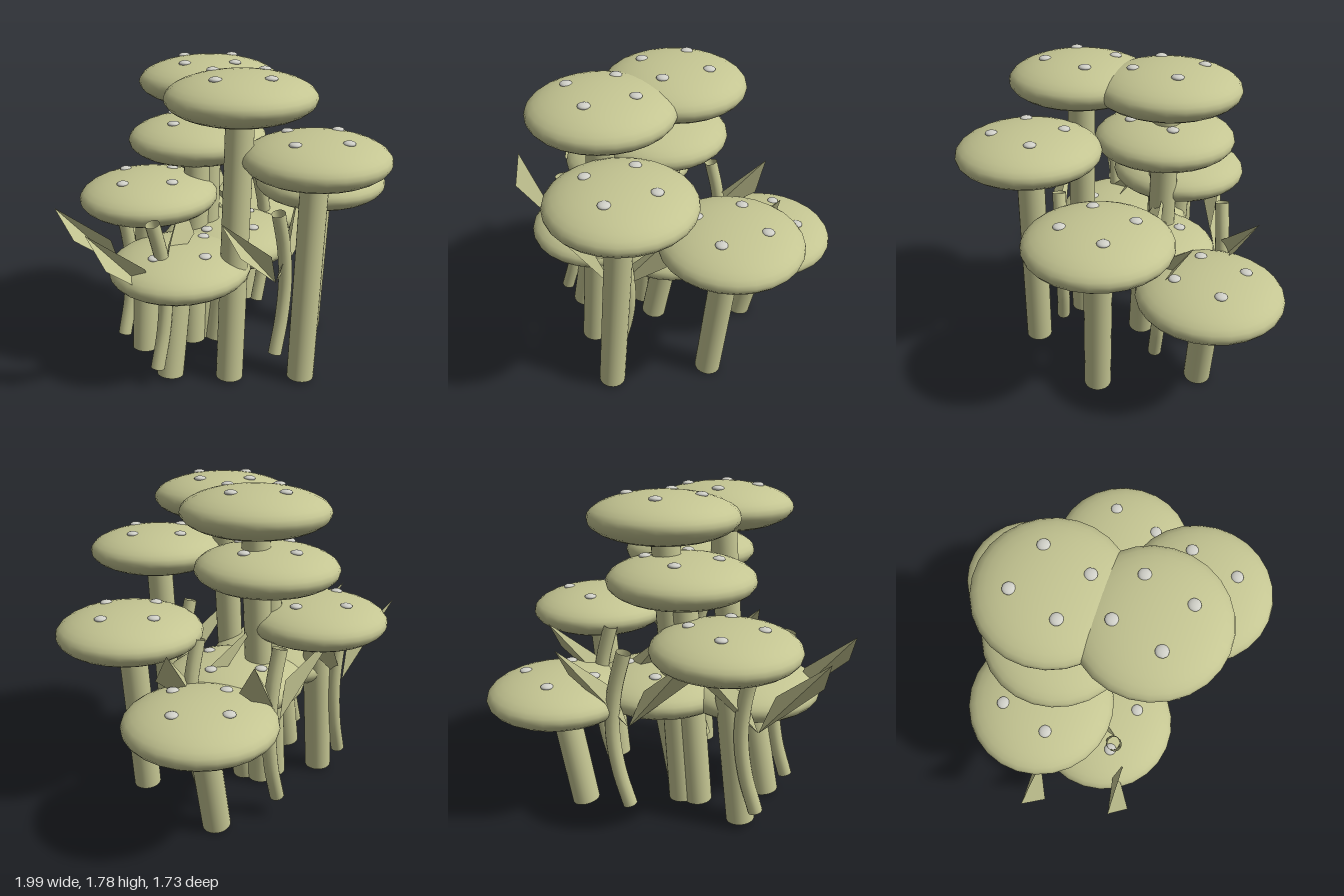
import * as THREE from 'three';

const fungus = new THREE.MeshStandardMaterial({ name: 'fungusGreen', color: 0xc4c592, side: THREE.DoubleSide });
const spotMat = new THREE.MeshStandardMaterial({ name: 'spotGrey', color: 0xd0d0c8 });
const leafMat = fungus;

function add(parent, name, geometry, material) {
  const mesh = new THREE.Mesh(geometry, material);
  mesh.name = name;
  parent.add(mesh);
  return mesh;
}

// Leaning open stem, flattened round cap and four pale spots
function mushroom(x, y, z, lean) {
  const g = new THREE.Group();
  g.name = 'mushroom';
  const foot = new THREE.Vector3(x - lean, 0.012, z);
  const top = new THREE.Vector3(x, y, z);
  const dir = top.clone().sub(foot);
  const stem = add(g, 'stem', new THREE.CylinderGeometry(0.078, 0.078, dir.length(), 24, 1, true), fungus);
  stem.position.copy(foot).add(top).multiplyScalar(0.5);
  stem.quaternion.setFromUnitVectors(new THREE.Vector3(0, 1, 0), dir.normalize());

  const cap = add(g, 'cap', new THREE.SphereGeometry(1, 26, 18), fungus);
  cap.scale.set(0.402, 0.135, 0.402);
  cap.position.copy(top);

  for (const [dx, dz] of [[1, 0], [-1, 0], [0, 1], [0, -1]]) {
    const spot = add(g, 'spot', new THREE.SphereGeometry(0.034, 14, 10), spotMat);
    spot.scale.y = 0.45;
    spot.position.set(x + dx * 0.196, y + 0.118, z + dz * 0.196);
  }
  return g;
}

// Folded blade: two flat faces sharing the crease from base to tip
function leafGeometry(side) {
  const base = [0, 0.58, 0];
  const tip = [side * 0.345, 1.025, -0.105];
  const lower = [side * 0.32, 0.85, 0.01];
  const upper = [side * 0.08, 0.78, 0.03];
  const corners = side > 0
    ? [base, lower, tip, base, tip, upper]
    : [base, tip, lower, base, upper, tip];
  const geo = new THREE.BufferGeometry();
  geo.setAttribute('position', new THREE.Float32BufferAttribute(corners.flat(), 3));
  geo.computeVertexNormals();
  return geo;
}

// Bent hollow stalk with a leaf on each side
function sprout(x, z) {
  const g = new THREE.Group();
  g.name = 'sprout';
  const path = new THREE.CatmullRomCurve3(
    [[0, 0.115], [0.06, 0.33], [0.088, 0.56], [0.07, 0.78], [0.015, 1.0]]
      .map(([px, py]) => new THREE.Vector3(px, py, 0)));
  add(g, 'stalk', new THREE.TubeGeometry(path, 20, 0.04, 14, false), fungus);
  add(g, 'leftLeaf', leafGeometry(1), leafMat);
  add(g, 'rightLeaf', leafGeometry(-1), leafMat);
  g.position.set(x, 0, z);
  return g;
}

export function createModel() {
  const model = new THREE.Group();
  model.name = 'mushroomCluster';

  // Cap centre x, y, z and how far the foot sits to the side
  const mushrooms = [
    [0.03, 1.645, -0.3, 0.1], [-0.214, 1.645, 0.147, 0.115],
    [0.025, 1.32, 0.467, 0.09], [-0.065, 1.32, -0.31, 0.1],
    [-0.327, 1.0, -0.468, 0.1], [0.53, 1.0, 0.157, 0.085],
    [0.595, 0.67, -0.435, 0.12], [-0.42, 0.67, -0.136, 0.115],
    [0.065, 0.67, -0.195, 0.115],
  ];
  for (const m of mushrooms) model.add(mushroom(...m));

  const sprouts = [[-0.65, -0.115], [-0.515, -0.55], [0.165, -0.605], [0.35, -0.2], [-0.1, 0.305]];
  for (const s of sprouts) model.add(sprout(...s));

  return model;
}
